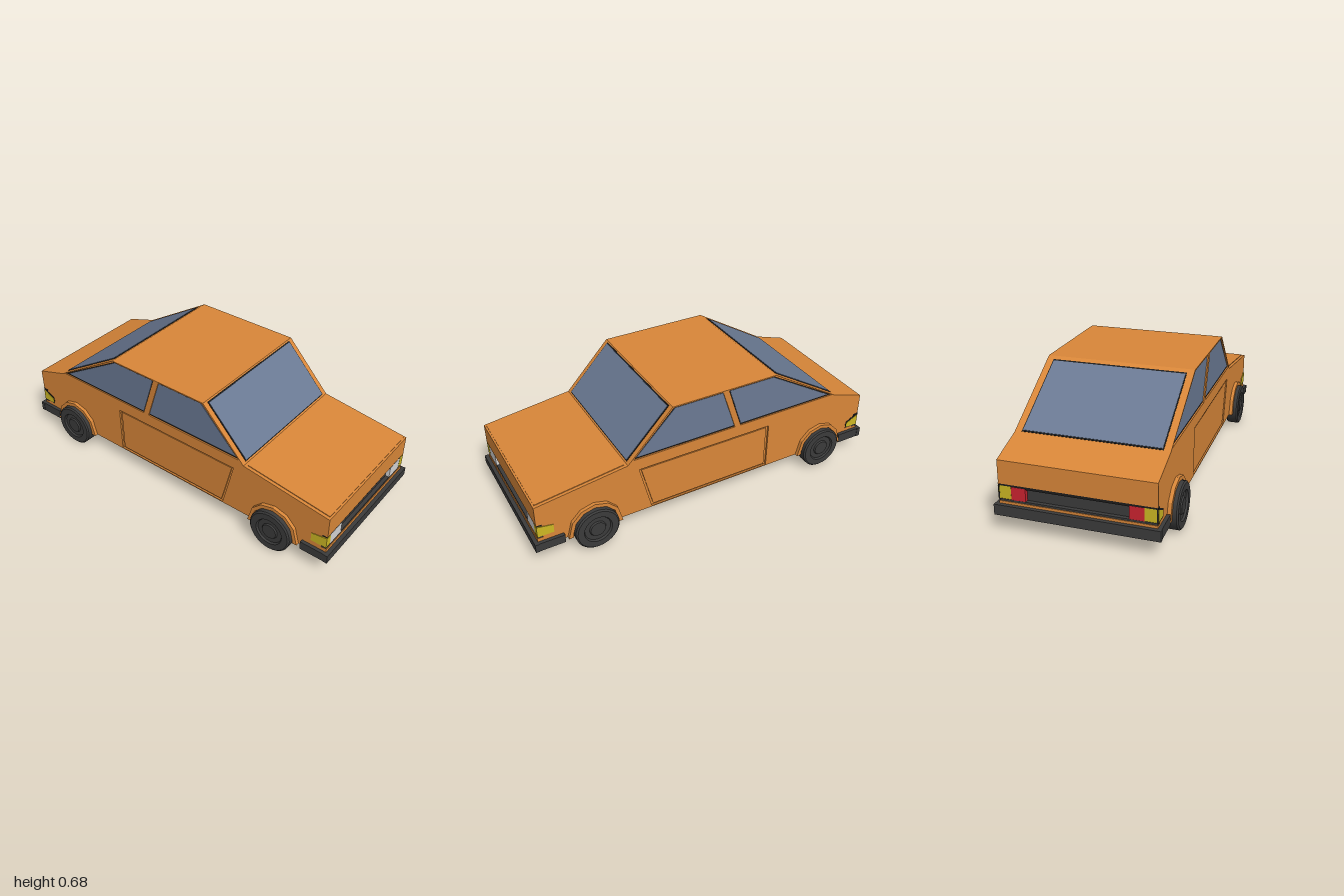
import * as THREE from 'three';
import { toCreasedNormals } from 'three/addons/utils/BufferGeometryUtils.js';

const mat = (name, color) => {
  const m = new THREE.MeshStandardMaterial({ color });
  m.name = name;
  return m;
};

export function createModel() {
  const paint = mat('orange paint', 0xd98739);
  const glass = mat('blue grey glass', 0x6b7a94);
  const dark = mat('dark rubber', 0x3b3b3b);
  const black = mat('black seal', 0x1c1c1c);
  const white = mat('headlight white', 0xd6d6d6);
  const amber = mat('indicator yellow', 0xcdb824);
  const red = mat('tail light red', 0xcc2430);

  const car = new THREE.Group();
  car.name = 'car';
  const add = (name, geo, material) => {
    const mesh = new THREE.Mesh(geo, material);
    mesh.name = name;
    car.add(mesh);
    return mesh;
  };
  const points = (list) => list.map(([a, b]) => new THREE.Vector2(a, b));

  // Extrude a (z, y) outline sideways from x0 to x1
  const slab = (name, outline, x0, x1, material, holes = []) => {
    const shape = new THREE.Shape(points(outline));
    holes.forEach((h) => shape.holes.push(new THREE.Path(points(h))));
    const geo = new THREE.ExtrudeGeometry(shape, { depth: x1 - x0, bevelEnabled: false });
    geo.rotateY(-Math.PI / 2).translate(x1, 0, 0);
    return add(name, geo, material);
  };
  // The same slab on either flank, s = +1 left, -1 right
  const flank = (name, outline, a, b, s, material, holes) =>
    slab(name, outline, s > 0 ? a : -b, s > 0 ? b : -a, material, holes);
  const box = (name, x0, x1, y0, y1, z0, z1, material) =>
    add(name, new THREE.BoxGeometry(x1 - x0, y1 - y0, z1 - z0)
      .translate((x0 + x1) / 2, (y0 + y1) / 2, (z0 + z1) / 2), material);

  // Thin plate lying on the slope from (z, y) a to b, sticking out by lift
  const slopePlate = (name, a, b, halfWidth, lift, material) => {
    const length = Math.hypot(b[0] - a[0], b[1] - a[1]);
    const geo = new THREE.BoxGeometry(2 * halfWidth, lift * 2, length);
    geo.rotateX(-Math.atan2(b[1] - a[1], b[0] - a[0]));
    geo.translate(0, (a[1] + b[1]) / 2, (a[0] + b[0]) / 2);
    return add(name, geo, material);
  };
  const along = (a, b, t) => [a[0] + (b[0] - a[0]) * t, a[1] + (b[1] - a[1]) * t];

  // Body outline, with notches for the grille and the tail panel
  const cowl = [0.485, 0.415], roofFront = [0.235, 0.68];
  const roofBack = [-0.37, 0.68], deck = [-0.79, 0.425], nose = [0.98, 0.35];
  const profile = [
    [0.98, 0.1], [0.98, 0.157], [0.95, 0.157], [0.95, 0.238], [0.98, 0.238], nose,
    cowl, roofFront, roofBack, deck, [-0.98, 0.365],
    [-0.98, 0.245], [-0.95, 0.245], [-0.95, 0.157], [-0.98, 0.157], [-0.98, 0.1],
  ];
  slab('body', profile, -0.375, 0.375, paint);

  // Side skins with recessed door and windows
  const door = [[0.425, 0.368], [-0.35, 0.368], [-0.35, 0.106], [0.36, 0.106]];
  const windows = [
    [[0.455, 0.436], [0.228, 0.673], [-0.053, 0.673], [-0.133, 0.436]],
    [[-0.088, 0.673], [-0.362, 0.673], [-0.765, 0.436], [-0.168, 0.436]],
  ];
  const panes = [
    [[0.436, 0.446], [0.218, 0.668], [-0.056, 0.668], [-0.131, 0.446]],
    [[-0.096, 0.668], [-0.36, 0.668], [-0.735, 0.446], [-0.17, 0.446]],
  ];
  for (const s of [1, -1]) {
    flank('sidePanel', profile, 0.375, 0.385, s, paint, [door, ...windows]);
    const inner = door.map(([z, y]) => [0.035 + (z - 0.035) * 0.965, 0.237 + (y - 0.237) * 0.93]);
    flank('doorPanel', inner, 0.375, 0.381, s, paint);
    windows.forEach((w) => flank('sideWindowSeal', w, 0.374, 0.377, s, black));
    panes.forEach((p) => flank('sideWindow', p, 0.374, 0.38, s, glass));
  }

  // Windscreen, rear window and bonnet panel
  const screens = [
    ['windscreen', cowl, roofFront, 0.04, 0.96, 0.352],
    ['rearWindow', deck, roofBack, 0.03, 0.93, 0.345],
  ];
  for (const [name, a, b, t0, t1, w] of screens) {
    slopePlate(name + 'Seal', along(a, b, t0 - 0.015), along(a, b, t1 + 0.02), w + 0.005, 0.002, black);
    slopePlate(name, along(a, b, t0), along(a, b, t1), w, 0.004, glass);
  }
  slopePlate('bonnet', along(cowl, nose, 0.03), along(cowl, nose, 0.98), 0.368, 0.004, paint);

  // Grille, tail panel and lamps
  box('grille', -0.383, 0.383, 0.157, 0.238, 0.945, 0.957, dark);
  box('tailPanel', -0.383, 0.383, 0.157, 0.245, -0.957, -0.945, dark);
  for (const z of [0.965, -0.965]) {
    box('trimTop', -0.384, 0.384, 0.23, z > 0 ? 0.239 : 0.246, z - 0.012, z + 0.012, black);
    box('trimBottom', -0.384, 0.384, 0.156, 0.167, z - 0.012, z + 0.012, dark);
  }
  const frontLamp = [[0.979, 0.168], [0.979, 0.222], [0.893, 0.23], [0.893, 0.168]]
    .map(([z, y]) => [z, z > 0.95 && y > 0.2 ? 0.23 : y > 0.2 ? 0.215 : y]);
  const rearLamp = [[-0.979, 0.17], [-0.979, 0.236], [-0.905, 0.198], [-0.905, 0.17]];
  const rearLampSeal = [[-0.98, 0.165], [-0.98, 0.248], [-0.9, 0.205], [-0.9, 0.165]];
  for (const s of [1, -1]) {
    const pair = (a, b) => (s > 0 ? [a, b] : [-b, -a]);
    box('headlight', ...pair(0.248, 0.36), 0.168, 0.23, 0.95, 0.978, white);
    flank('frontIndicator', frontLamp, 0.352, 0.388, s, amber);
    box('tailLight', ...pair(0.25, 0.322), 0.168, 0.234, -0.978, -0.95, red);
    flank('rearIndicatorSeal', rearLampSeal, 0.38, 0.3865, s, black);
    flank('rearIndicator', rearLamp, 0.322, 0.388, s, amber);
  }

  // Bumpers wrapping round the corners
  for (const [e, top] of [[1, 0.137], [-1, 0.144]]) {
    const range = (a, b) => (e > 0 ? [a, b] : [-b, -a]);
    box('bumper', -0.405, 0.405, 0.09, top, ...range(0.978, 1), dark);
    for (const s of [1, -1]) {
      const x = s > 0 ? [0.384, 0.403] : [-0.403, -0.384];
      box('bumperEnd', ...x, 0.09, top, ...range(0.845, 0.985), dark);
    }
  }

  // Wheels with stepped hubs, and angular arches
  const wheelProfile = points([
    [0, -0.035], [0.112, -0.035], [0.118, -0.028], [0.118, 0.028], [0.11, 0.035], [0.076, 0.035],
    [0.07, 0.025], [0.045, 0.025], [0.04, 0.033], [0, 0.033],
  ]);
  for (const z of [0.68, -0.7]) {
    const arc = (r) => Array.from({ length: 7 }, (_, i) => {
      const t = (Math.PI * i) / 6;
      return [z + r * Math.cos(t), 0.12 + r * Math.sin(t)];
    });
    const arch = [[z + 0.148, 0.1], ...arc(0.142), [z - 0.148, 0.1],
      [z - 0.122, 0.1], ...arc(0.122).reverse(), [z + 0.122, 0.1]];
    for (const s of [1, -1]) {
      flank('wheelArch', arch, 0.38, 0.404, s, paint);
      const geo = toCreasedNormals(new THREE.LatheGeometry(wheelProfile, 28), 0.5);
      geo.rotateZ(-s * Math.PI / 2).translate(s * 0.395, 0.12, z);
      add('wheel', geo, dark);
    }
  }
  return car;
}
